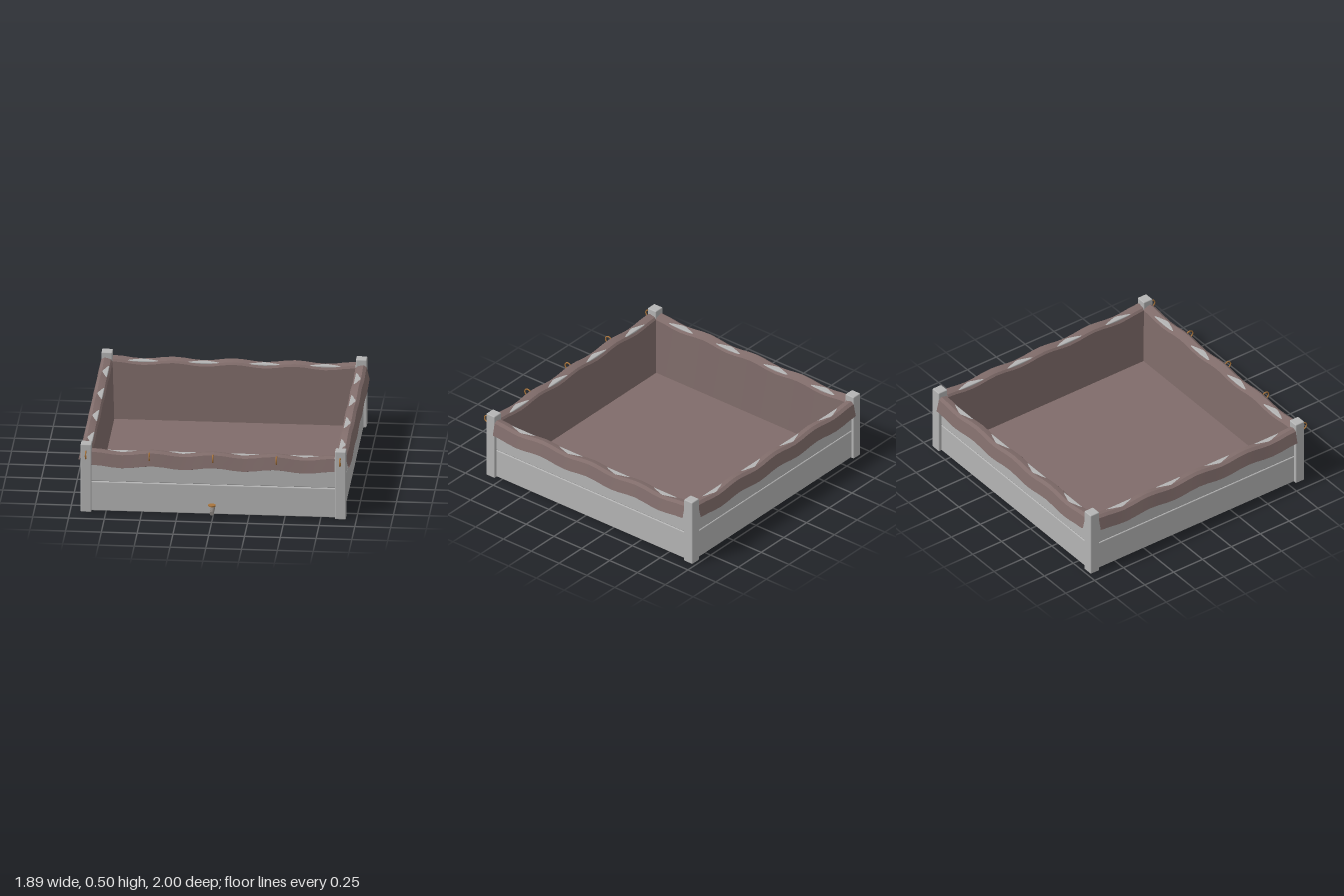
import * as THREE from 'three';
import { RoundedBoxGeometry } from 'three/addons/geometries/RoundedBoxGeometry.js';
import { toCreasedNormals } from 'three/addons/utils/BufferGeometryUtils.js';

const mat = (name, color, side = THREE.FrontSide) => {
  const m = new THREE.MeshStandardMaterial({ color, side });
  m.name = name;
  return m;
};

export function createModel() {
  const grey = mat('grey wood', 0xb4b4b4);
  const cloth = mat('brown cloth', 0x806c6a, THREE.DoubleSide);
  const brass = mat('brass', 0xa8743c);
  const pipeMetal = mat('pipe metal', 0x85807c);

  const model = new THREE.Group();
  model.name = 'linedPlanter';
  const add = (parent, name, geo, material, x = 0, y = 0, z = 0) => {
    const mesh = new THREE.Mesh(geo, material);
    mesh.name = name;
    mesh.position.set(x, y, z);
    parent.add(mesh);
    return mesh;
  };

  // The square frame sits slightly back because the tap sticks out in front
  const frame = new THREE.Group();
  frame.name = 'frame';
  frame.position.z = -0.0525;
  model.add(frame);

  // Liner cross-section: [distance from centre, height, share of the wave]
  const profile = [
    [0.835, 0.012, 0], [0.848, 0.43, 1], [0.86, 0.445, 1], [0.885, 0.453, 1],
    [0.905, 0.457, 1], [0.927, 0.442, 1], [0.9475, 0.353, 1],
    [0.938, 0.349, 1], [0.915, 0.435, 1],
  ];
  const makeLinerSide = () => {
    const half = 0.849, nu = 24, nv = profile.length - 1;
    const geo = new THREE.PlaneGeometry(1, 1, nu, nv);
    const p = geo.attributes.position;
    for (let j = 0; j <= nv; j++) {
      for (let i = 0; i <= nu; i++) {
        const [d, h, k] = profile[j];
        const x = (i / nu * 2 - 1) * half;
        const wave = 0.01 * Math.cos(i / nu * 8 * Math.PI);
        p.setXYZ(j * (nu + 1) + i, x, h + k * wave, d);
      }
    }
    return toCreasedNormals(geo, 0.5);
  };

  // Four identical sides: post, two planks and the draped liner
  const postGeo = new RoundedBoxGeometry(0.076, 0.505, 0.076, 2, 0.007);
  const lowerPlank = new RoundedBoxGeometry(1.72, 0.216, 0.045, 2, 0.006);
  const upperPlank = new RoundedBoxGeometry(1.72, 0.222, 0.045, 2, 0.006);
  const linerGeo = makeLinerSide();
  ['front', 'left', 'back', 'right'].forEach((name, i) => {
    const side = new THREE.Group();
    side.name = name + 'Side';
    side.rotation.y = i * Math.PI / 2;
    frame.add(side);
    add(side, 'cornerPost', postGeo, grey, 0.8885, 0.2525, 0.8885);
    add(side, 'lowerPlank', lowerPlank, grey, 0, 0.113, 0.883);
    add(side, 'upperPlank', upperPlank, grey, 0, 0.336, 0.883);
    add(side, 'linerSide', linerGeo, cloth);
  });
  add(frame, 'linerFloor', new THREE.BoxGeometry(1.72, 0.01, 1.72), cloth, 0, 0.011, 0);

  // Brass rings along the front
  const ringGeo = new THREE.TorusGeometry(0.026, 0.005, 8, 20);
  for (const x of [-0.888, -0.444, 0, 0.444, 0.888]) {
    add(model, 'hookRing', ringGeo, brass, x, 0.434, 0.893).rotation.y = Math.PI / 2;
  }

  // Drain pipe and its disc handle
  const pipe = add(model, 'drainPipe', new THREE.CylinderGeometry(0.015, 0.015, 0.16, 8), pipeMetal, 0, 0.065, 0.92);
  pipe.rotation.x = Math.PI / 2;
  add(model, 'tapHandle', new THREE.CylinderGeometry(0.026, 0.026, 0.009, 16), brass, 0, 0.116, 0.973);

  return model;
}
